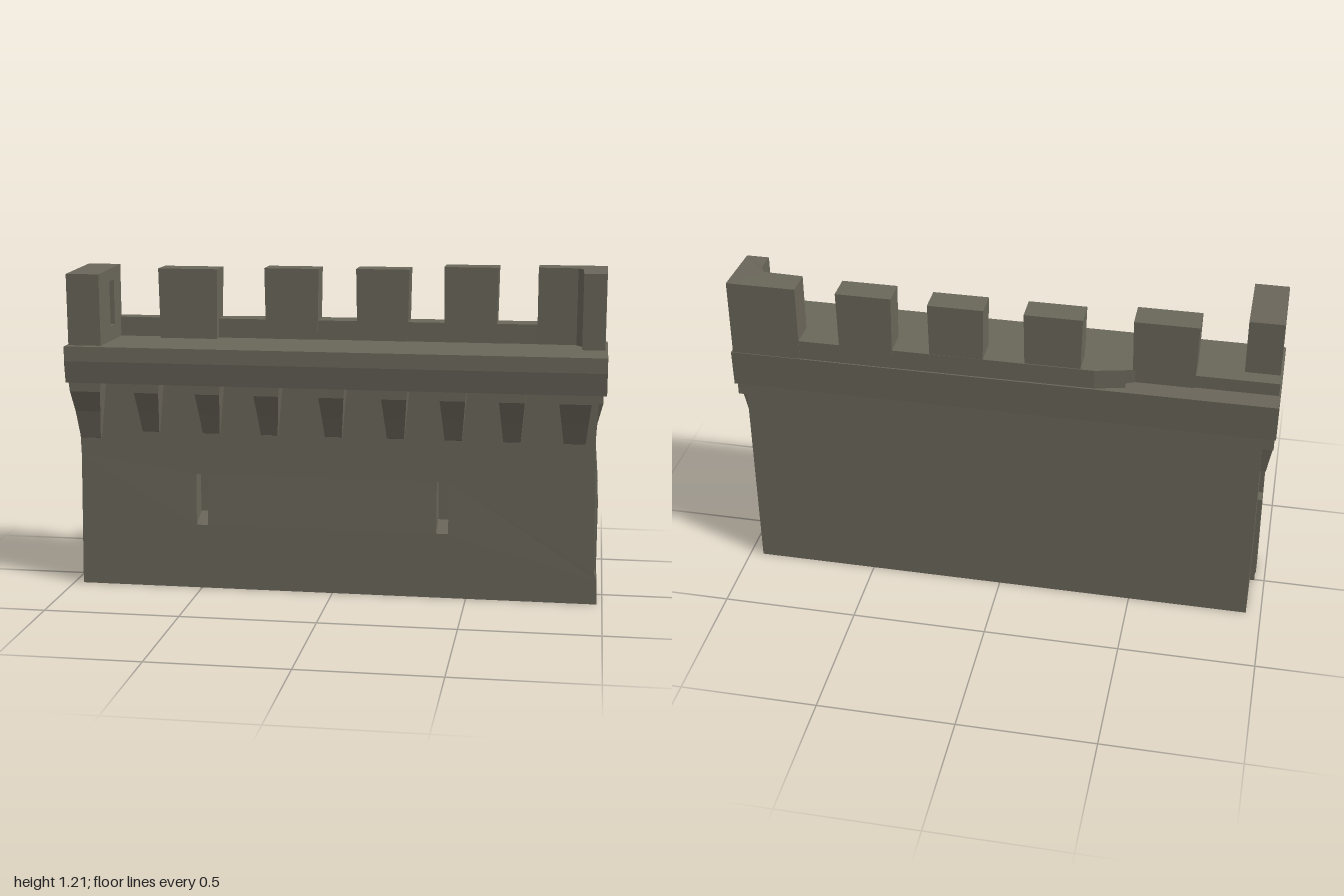
import * as THREE from 'three';

const stone = new THREE.MeshStandardMaterial({ color: 0x6a665a });
stone.name = 'weathered stone';

const outline = (pts) => new THREE.Shape(pts.map(([a, b]) => new THREE.Vector2(a, b)));
const extrude = (shape, depth) => new THREE.ExtrudeGeometry(shape, { depth, bevelEnabled: false });
const rect = (a0, b0, a1, b1) => [[a0, b0], [a1, b0], [a1, b1], [a0, b1]];

// Side profile of [z, y] points swept from x0 to x1
function sweepX(shape, x0, x1) {
  return extrude(shape, x1 - x0).rotateY(-Math.PI / 2).translate(x1, 0, 0);
}

// Floor plan of [x, z] points raised from y0 to y1
function raise(plan, y0, y1) {
  return extrude(outline(plan.map(([x, z]) => [x, -z])), y1 - y0).rotateX(-Math.PI / 2).translate(0, y0, 0);
}

function box(x0, x1, y0, y1, z0, z1) {
  return new THREE.BoxGeometry(x1 - x0, y1 - y0, z1 - z0)
    .translate((x0 + x1) / 2, (y0 + y1) / 2, (z0 + z1) / 2);
}

// Moves every vertex by a rule
function reshape(geo, rule) {
  const p = geo.attributes.position;
  const v = new THREE.Vector3();
  for (let i = 0; i < p.count; i++) {
    rule(v.fromBufferAttribute(p, i));
    p.setXYZ(i, v.x, v.y, v.z);
  }
  geo.computeVertexNormals();
  return geo;
}

export function createModel() {
  const model = new THREE.Group();
  const add = (name, geo) => {
    const mesh = new THREE.Mesh(geo, stone);
    mesh.name = name;
    model.add(mesh);
    return mesh;
  };

  // Wall: recessed core and a front facing pierced by two arrow slits
  add('wallCore', box(-0.945, 0.95, 0, 0.8, -0.205, 0.05));
  const face = outline([[-0.965, 0], [0.98, 0], [0.978, 0.09], [0.968, 0.12], [0.972, 0.45],
    [0.96, 0.6], [0.97, 0.8], [-0.97, 0.8], [-0.96, 0.5]]);
  for (const x of [-0.495, 0.41]) {
    face.holes.push(new THREE.Path(outline(rect(x - 0.022, 0.245, x + 0.022, 0.44)).getPoints()));
    // Sloping sill inside each slit
    add('slitSill', sweepX(outline([[0.04, 0.24], [0.125, 0.245], [0.04, 0.285]]), x - 0.022, x + 0.022));
  }
  add('wallFacing', reshape(extrude(face, 0.085).translate(0, 0, 0.045), (v) => {
    if (v.z > 0.1 && v.y > 0.3) v.z -= 0.007;
  }));

  // End details: lower buttress step and a corbel near the back
  for (const [side, inner, outer] of [[-1, 0.93, 0.962], [1, 0.93, 0.975]]) {
    const [a, b] = side > 0 ? [inner, outer] : [-outer, -inner];
    add('endStep', box(a, b, 0, 0.383, -0.004, 0.06));
    const corbel = outline([[-0.083, 0.8], [-0.083, 0.71], [-0.1, 0.63], [-0.15, 0.615],
      [-0.162, 0.735], [-0.2, 0.742], [-0.2, 0.8]]);
    const [c, d] = side > 0 ? [0.93, 0.985] : [-0.985, -0.93];
    add('endCorbel', reshape(sweepX(corbel, c, d), (v) => {
      if (v.y < 0.7) v.x = side * Math.min(Math.abs(v.x), 0.965);
    }));
  }

  // Projecting walkway ledge
  add('walkwayLedge', sweepX(outline([[-0.205, 0.788], [0.2, 0.788], [0.213, 0.87],
    [0.21, 0.925], [-0.21, 0.925]]), -0.99, 0.995));

  // Tapered corbels under the front of the ledge
  const centers = [-0.918, -0.685, -0.455, -0.235, 0.005, 0.235, 0.447, 0.66, 0.885];
  centers.forEach((cx, i) => {
    const end = i === 0 || i === centers.length - 1;
    const low = i === 0 ? 0.56 : 0.59;
    const half = end ? 0.062 : 0.05;
    const profile = outline([[0.1, 0.795], [0.198, 0.795], [0.198, 0.755],
      [0.165, 0.675], [0.138, low + 0.01], [0.1, low]]);
    add('corbel', reshape(sweepX(profile, cx - half, cx + half), (v) => {
      const t = Math.min(1, (0.795 - v.y) / 0.2);
      v.x = cx + (v.x - cx) * (1 - 0.38 * t);
    }));
  });

  // Low parapet, set back along its right-hand stretch
  add('parapet', raise([[-0.985, -0.168], [-0.49, -0.168], [-0.34, -0.203], [0.8, -0.205],
    [0.8, -0.108], [-0.985, -0.1]], 0.92, 0.998));
  add('parapetSlope', sweepX(outline([[-0.209, 0.922], [-0.16, 0.922], [-0.16, 0.955]]), -0.985, -0.45));

  // Merlons: x range, z range, top height
  const merlons = [
    [-0.697, -0.468, -0.17, -0.062, 1.19],
    [-0.295, -0.087, -0.2, -0.1, 1.193],
    [0.055, 0.256, -0.203, -0.103, 1.195],
    [0.386, 0.588, -0.205, -0.105, 1.207],
  ];
  for (const [x0, x1, z0, z1, top] of merlons) {
    const mid = (x0 + x1) / 2;
    add('merlon', reshape(box(x0, x1, 0.92, top, z0, z1), (v) => {
      if (v.y < 1) v.x = mid + (v.x - mid) * 0.95;
    }));
  }

  // Long corner block with a lookout slit
  const block = outline([[-0.11, 0.92], [0.178, 0.92], [0.185, 1.19], [-0.11, 1.2]]);
  block.holes.push(new THREE.Path(outline([[-0.015, 0.98], [0.04, 0.98], [0.045, 1.15],
    [-0.015, 1.15]]).getPoints()));
  add('cornerBlock', sweepX(block, -0.982, -0.858));

  // L-shaped corner merlon
  add('cornerMerlon', reshape(raise([[0.735, -0.207], [0.988, -0.207], [0.985, 0.022], [0.902, 0.022],
    [0.9, -0.065], [0.88, -0.1], [0.735, -0.105]], 0.92, 1.21), (v) => {
    if (v.y > 1 && v.z > -0.05) v.y -= 0.007;
  }));

  return model;
}
